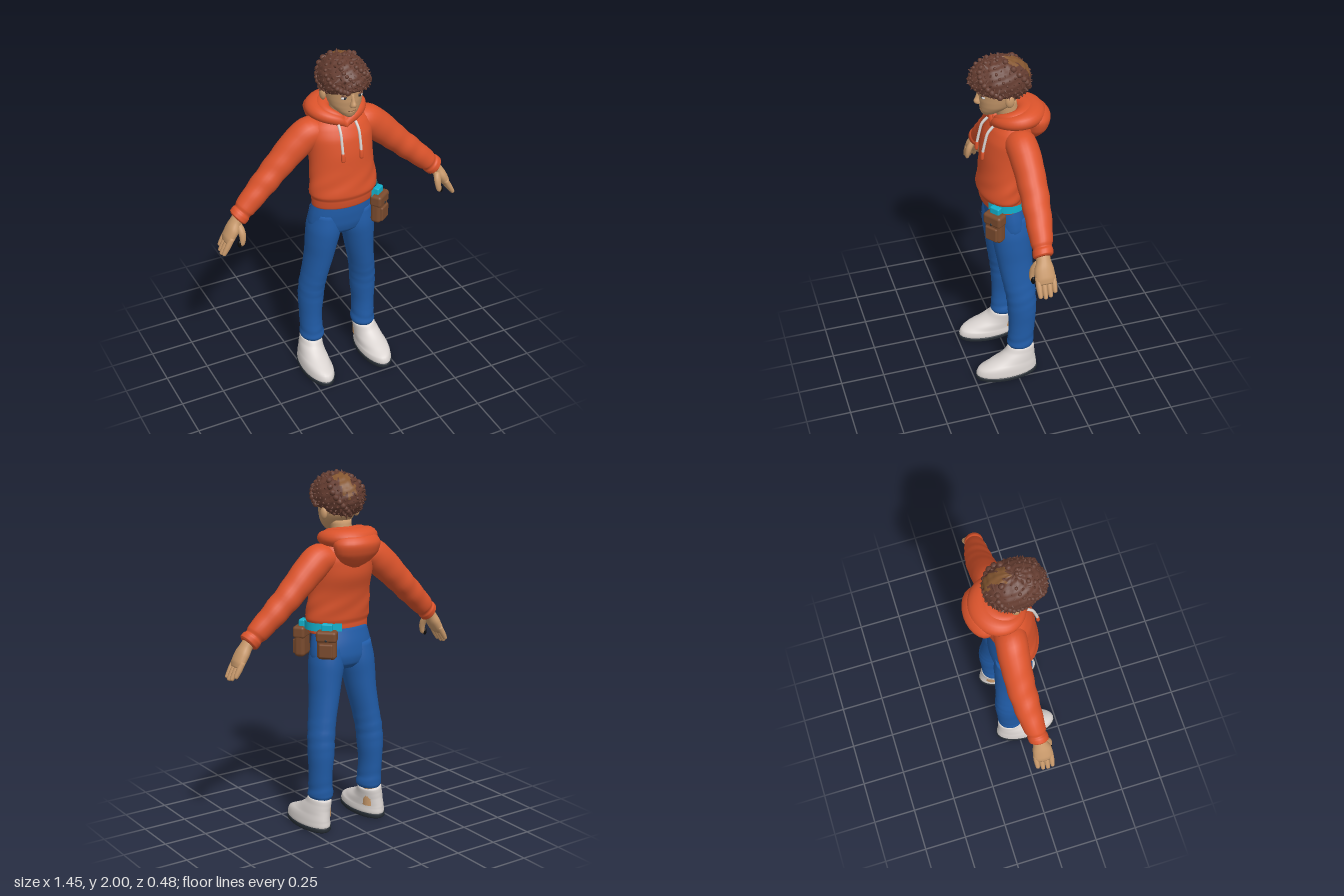
import * as THREE from 'three';
import { mergeGeometries } from 'three/addons/utils/BufferGeometryUtils.js';
import { RoundedBoxGeometry } from 'three/addons/geometries/RoundedBoxGeometry.js';

const mat = (name, color, side = THREE.FrontSide) => Object.assign(new THREE.MeshStandardMaterial({ color, side }), { name });
const M = {
  orange: mat('hoodieOrange', 0xdb532b),
  blue: mat('denimBlue', 0x205ba6),
  skin: mat('skin', 0xc8996b),
  hair: mat('hairBrown', 0x643c30, THREE.DoubleSide),
  hairLight: mat('hairLightBrown', 0x845630, THREE.DoubleSide),
  white: mat('offWhite', 0xdad4d1),
  sole: mat('soleDark', 0x262d34),
  leather: mat('leatherBrown', 0x7a4b2e),
  cyan: mat('beltCyan', 0x12b0cc, THREE.DoubleSide),
  black: mat('black', 0x0c0b0b),
};

// Surface from rows of points closed around each row; pick chooses a material group.
function grid(rows, cols, fn, { closed = false, caps = false, pick = null } = {}) {
  const pos = [], idx = [[], []], n = closed ? rows : rows + 1, sum = [];
  for (let i = 0; i < n; i++) {
    const mid = new THREE.Vector3();
    for (let j = 0; j < cols; j++) {
      const p = fn(i / rows, j / cols * Math.PI * 2);
      pos.push(p.x, p.y, p.z);
      mid.addScaledVector(p, 1 / cols);
    }
    sum.push(mid);
  }
  const at = (i, j) => (i % n) * cols + (j % cols);
  for (let i = 0; i < rows; i++) for (let j = 0; j < cols; j++) {
    const a = at(i, j), b = at(i + 1, j), c = at(i, j + 1), d = at(i + 1, j + 1);
    const k = pick && pick(new THREE.Vector3().fromArray(pos, a * 3)) ? 1 : 0;
    idx[k].push(a, b, c, b, d, c);
  }
  if (caps) [0, rows].forEach((row, e) => {
    const c = pos.length / 3;
    pos.push(sum[row].x, sum[row].y, sum[row].z);
    for (let j = 0; j < cols; j++) idx[0].push(c, at(row, j + e), at(row, j + 1 - e));
  });
  const g = new THREE.BufferGeometry();
  g.setAttribute('position', new THREE.Float32BufferAttribute(pos, 3));
  g.setIndex([...idx[0], ...idx[1]]);
  if (pick) {
    g.addGroup(0, idx[0].length, 0);
    g.addGroup(idx[0].length, idx[1].length, 1);
  }
  g.computeVertexNormals();
  return g;
}

// Smooth loft through sections [x, y, z, radius across, radius in z].
function loft(sections, { cols = 24, steps = 5, fold = () => 1 } = {}) {
  const path = new THREE.CatmullRomCurve3(sections.map(s => new THREE.Vector3(s[0], s[1], s[2])));
  const radii = new THREE.CatmullRomCurve3(sections.map(s => new THREE.Vector3(s[3], s[4], 0)));
  return grid((sections.length - 1) * steps, cols, (t, a) => {
    const p = path.getPoint(t), r = radii.getPoint(t), d = path.getTangent(t), f = fold(t, a, p);
    const l = Math.hypot(d.x, d.y) || 1, c = Math.cos(a) * r.x * f;
    return new THREE.Vector3(p.x + d.y / l * c, p.y - d.x / l * c, p.z + Math.sin(a) * r.y * f);
  }, { caps: true });
}

export function createModel() {
  const root = new THREE.Group();
  const add = (name, geo, material, pos = [0, 0, 0], scale = [1, 1, 1], parent = root) => {
    const m = new THREE.Mesh(geo, material);
    m.name = name;
    m.position.set(...pos);
    m.scale.set(...scale);
    parent.add(m);
    return m;
  };
  const ball = new THREE.SphereGeometry(1, 20, 14);
  const bump = (x, c, w) => Math.exp(-(((x - c) / w) ** 2));

  // Hoodie body with soft creases above the hem
  add('hoodieBody', loft([
    [0, 1.115, .03, .165, .095], [0, 1.125, .033, .181, .108], [0, 1.16, .036, .184, .113], [0, 1.175, .037, .185, .114],
    [0, 1.205, .038, .197, .124], [0, 1.27, .03, .192, .124], [0, 1.36, .018, .183, .127], [0, 1.45, 0, .183, .138],
    [0, 1.53, -.01, .187, .131], [0, 1.59, -.02, .17, .11], [0, 1.63, -.03, .125, .088], [0, 1.66, -.035, .08, .07],
  ], { cols: 40, fold: (t, a, p) => 1 + .018 * bump(p.y, 1.27, .06) * Math.sin(a * 5 + p.y * 45) }), M.orange);

  // Hood: thick outer roll, inner fold and hanging back
  const roll = (w, d, z0, y0, thick) => grid(48, 18, (t, f) => {
    const a = t * Math.PI * 2, k = (1 - Math.cos(a)) / 2, h = Math.sqrt(Math.sin(a / 2));
    const out = (.026 + .05 * k) * thick * Math.cos(f), up = (.03 + .024 * k) * thick * Math.sin(f);
    return new THREE.Vector3(Math.sin(a) * (w + out), y0 + .07 * h - .01 * k * k + up, z0 + Math.cos(a) * (d + out));
  }, { closed: true });
  add('hoodOuterRoll', roll(.116, .1, -.035, 1.6, 1), M.orange);
  add('hoodInnerFold', roll(.086, .082, -.025, 1.618, .72), M.orange);
  add('hoodBack', loft([
    [0, 1.5, -.125, .03, .02], [0, 1.53, -.135, .085, .05], [0, 1.58, -.145, .13, .078],
    [0, 1.635, -.145, .142, .092], [0, 1.675, -.13, .12, .08], [0, 1.69, -.12, .06, .04],
  ]), M.orange);

  // Pelvis of the jeans
  add('jeansHips', loft([
    [0, .92, 0, .1, .07], [0, .95, 0, .165, .098], [0, 1, .002, .193, .11], [0, 1.06, .008, .187, .11], [0, 1.15, .02, .168, .098],
  ]), M.blue);

  for (const s of [1, -1]) {
    const side = s > 0 ? 'left' : 'right';
    const mir = list => list.map(([x, ...r]) => [x * s, ...r]);

    // Sleeve with cuff
    add(side + 'Sleeve', loft(mir([
      [.09, 1.55, -.03, .06, .08], [.17, 1.54, -.033, .088, .085], [.225, 1.5, -.038, .087, .084], [.29, 1.44, -.04, .082, .08],
      [.36, 1.372, -.04, .074, .077], [.43, 1.305, -.035, .07, .073], [.5, 1.24, -.028, .064, .066], [.555, 1.188, -.02, .059, .058],
      [.571, 1.172, -.018, .051, .05], [.583, 1.161, -.016, .057, .055], [.6, 1.145, -.013, .056, .054], [.607, 1.139, -.012, .046, .044],
    ]), { fold: (t, a, p) => 1 + .03 * bump(Math.abs(p.x), .42, .13) * Math.sin(Math.abs(p.x) * 75 + Math.sin(a) * 2) }), M.orange);

    // Hand: palm, four fingers, thumb
    const hand = new THREE.Group();
    hand.name = side + 'Hand';
    root.add(hand);
    add('palm', loft(mir([
      [.585, 1.16, -.012, .034, .036], [.613, 1.125, -.01, .033, .038], [.638, 1.085, -.006, .034, .052],
      [.662, 1.045, -.006, .03, .054], [.678, 1.018, -.006, .018, .046],
    ]), { cols: 18 }), M.skin, undefined, undefined, hand);
    for (let k = 0; k < 4; k++) {
      const z = .034 - k * .027, len = [.93, 1, .95, .78][k];
      const q = (u, r) => [.662 + .055 * u * len, 1.045 - .095 * u * len, z, r, r * .95];
      add('finger', loft(mir([q(-.1, .016), q(.35, .0165), q(.75, .014), q(.95, .011), q(1, .004)]), { cols: 10, steps: 3 }), M.skin, undefined, undefined, hand);
    }
    add('thumb', loft(mir([
      [.612, 1.115, .01, .02, .022], [.603, 1.08, .034, .021, .02], [.602, 1.045, .046, .018, .016], [.608, 1.012, .05, .014, .012], [.612, 1, .05, .005, .005],
    ]), { cols: 12, steps: 3 }), M.skin, undefined, undefined, hand);
    add('thumbShade', ball, M.black, [.622 * s, 1.012, .046], [.011, .022, .012], hand);

    // Trouser leg with creases at knee and ankle
    add(side + 'TrouserLeg', loft(mir([
      [.095, 1.06, .002, .08, .098], [.102, .95, 0, .096, .11], [.113, .87, -.004, .09, .106], [.124, .78, -.012, .081, .1],
      [.146, .65, -.025, .073, .092], [.162, .54, -.038, .073, .086], [.167, .45, -.043, .072, .083], [.17, .34, -.042, .064, .076],
      [.168, .25, -.037, .065, .075], [.166, .205, -.035, .07, .078], [.166, .185, -.035, .062, .07],
    ]), { fold: (t, a, p) => 1 + .022 * (bump(p.y, .56, .09) + bump(p.y, .24, .05)) * Math.sin(p.y * 95 + Math.sin(a) * 2.2) }), M.blue);
    add(side + 'Ankle', new THREE.CylinderGeometry(.05, .05, .12, 20), M.skin, [.168 * s, .135, -.052]);

    // Shoe
    add(side + 'Shoe', loft(mir([
      [.187, .02, .055, .08, .178], [.187, .035, .055, .084, .182], [.187, .065, .05, .081, .174], [.184, .092, .025, .075, .145],
      [.181, .12, -.004, .07, .112], [.176, .15, -.026, .065, .089], [.172, .178, -.036, .062, .077], [.171, .186, -.037, .05, .062],
    ]), { cols: 32 }), M.white);
    add(side + 'Sole', loft(mir([
      [.187, 0, .055, .08, .178], [.187, .006, .055, .086, .185], [.187, .022, .055, .087, .186], [.187, .028, .055, .082, .18],
    ]), { cols: 32, steps: 2 }), M.sole);

    // Drawstring with tip
    const cord = (pts, r) => new THREE.TubeGeometry(new THREE.CatmullRomCurve3(pts.map(p => new THREE.Vector3(p[0] * s, p[1], p[2]))), 12, r, 8);
    add(side + 'Drawstring', cord([[.05, 1.615, .085], [.053, 1.58, .117], [.054, 1.53, .132], [.054, 1.47, .145]], .008), M.white);
    add(side + 'DrawstringTip', loft(mir([[.054, 1.475, .144, .005, .005], [.054, 1.465, .146, .011, .01], [.054, 1.43, .149, .012, .01], [.054, 1.42, .149, .006, .005]]), { cols: 10, steps: 2 }), M.orange);

    // Ear, eye, brow
    add(side + 'Ear', ball, M.skin, [.106 * s, 1.782, .012], [.017, .036, .024]);
    add(side + 'Eye', ball, M.white, [.043 * s, 1.797, .137], [.019, .009, .01]);
    add(side + 'Iris', ball, M.sole, [.042 * s, 1.797, .143], [.008, .0085, .006]);
    const lid = add(side + 'Lid', ball, M.hair, [.043 * s, 1.806, .14], [.021, .003, .009]);
    const brow = add(side + 'Brow', ball, M.hair, [.046 * s, 1.824, .142], [.027, .006, .011]);
    lid.rotation.z = brow.rotation.z = .12 * s;
  }

  // Neck, head, nose, mouth
  add('neck', loft([[0, 1.56, -.02, .07, .065], [0, 1.64, -.01, .056, .058], [0, 1.74, .01, .058, .064]]), M.skin);
  add('head', loft([
    [0, 1.671, .105, .018, .02], [0, 1.682, .092, .038, .043], [0, 1.705, .075, .063, .068], [0, 1.735, .056, .086, .09],
    [0, 1.77, .043, .097, .108], [0, 1.81, .037, .104, .116], [0, 1.86, .03, .108, .128], [0, 1.92, .028, .098, .12], [0, 1.955, .028, .05, .06],
  ], { cols: 32 }), M.skin);
  add('nose', loft([
    [0, 1.738, .148, .008, .008], [0, 1.746, .153, .018, .019], [0, 1.757, .155, .017, .021], [0, 1.778, .15, .011, .017], [0, 1.815, .144, .01, .01],
  ], { cols: 14 }), M.skin);
  add('mouth', ball, M.leather, [0, 1.714, .1385], [.024, .0035, .006]);
  add('lowerLip', ball, M.skin, [0, 1.706, .136], [.019, .006, .008]);

  // Hair cap: bumpy dome down to a hairline that is high in front and low behind
  const C = new THREE.Vector3(0, 1.866, .033);
  const dome = (t, a, lift = 0) => {
    const c = Math.cos(a), line = (c > 0 ? -.2 : -.2 + .62 * c) - .3 * Math.sin(a) ** 2;
    const p = t * Math.acos(line), n = 1 + .025 * Math.sin(a * 9 + p * 7) * Math.sin(p * 13 - a * 3) + lift;
    const r = n * (t > .97 ? .84 : 1);
    return new THREE.Vector3(.13 * Math.sin(p) * Math.sin(a), .126 * Math.cos(p), .163 * Math.sin(p) * c).multiplyScalar(r).add(C);
  };
  const streak = new THREE.Line3(new THREE.Vector3(.02, 1.985, -.02), new THREE.Vector3(.035, 1.92, -.12));
  const near = p => p.distanceTo(streak.closestPointToPoint(p, true, new THREE.Vector3())) < .036 + .012 * Math.sin(p.x * 160 + p.z * 90);
  add('hairCap', grid(30, 60, (t, a) => dome(Math.max(t, .002), a), { pick: near }), [M.hair, M.hairLight]);

  // Curls: small tilted tufts spread over the dome
  const curls = [], up = new THREE.Vector3(0, 1, 0);
  for (let i = 0; i < 230; i++) {
    const t = Math.sqrt((i + .5) / 230) * .97, a = i * 2.39996, p = dome(t, a, -.01);
    if (near(p) && i % 4) continue;
    const n = p.clone().sub(C).divide(new THREE.Vector3(.0169, .0159, .0266)).normalize();
    n.add(new THREE.Vector3(Math.sin(i * 1.7), Math.cos(i * 2.9) - .4, Math.sin(i * 4.1)).multiplyScalar(.5)).normalize();
    const size = .8 + .3 * Math.sin(i * 3.3);
    const g = i % 3 ? new THREE.ConeGeometry(.015, .036, 7) : new THREE.SphereGeometry(.016, 8, 6);
    g.scale(size, size, size).applyQuaternion(new THREE.Quaternion().setFromUnitVectors(up, n)).translate(p.x, p.y, p.z);
    curls.push(g);
  }
  add('hairCurls', mergeGeometries(curls), M.hair);

  // Belt strap and two leather pouches on the left hip
  add('beltStrap', new THREE.CylinderGeometry(1, 1, .045, 32, 1, true, .65, 2.15), M.cyan, [0, 1.17, .025], [.206, 1, .142]);
  const pouch = (name, x, y, z, turn, h) => {
    const g = new THREE.Group();
    g.name = name;
    g.position.set(x, y, z);
    g.rotation.y = turn;
    root.add(g);
    add('bag', new RoundedBoxGeometry(.108, h, .062, 4, .022), M.leather, [0, 0, 0], undefined, g);
    add('flap', new RoundedBoxGeometry(.114, h * .4, .07, 4, .016), M.leather, [0, h * .32, .002], undefined, g);
    add('frontPocket', new RoundedBoxGeometry(.078, h * .5, .02, 3, .009), M.leather, [0, -h * .17, .032], undefined, g);
    add('button', ball, M.sole, [0, h * .2, .037], [.007, .007, .004], g);
    add('beltLoop', new RoundedBoxGeometry(.06, .055, .036, 2, .008), M.cyan, [0, h / 2 + .012, -.008], undefined, g);
  };
  pouch('frontPouch', .182, 1.065, .118, .62, .17);
  pouch('backPouch', .168, 1.085, -.108, 2.35, .155);

  return root;
}
